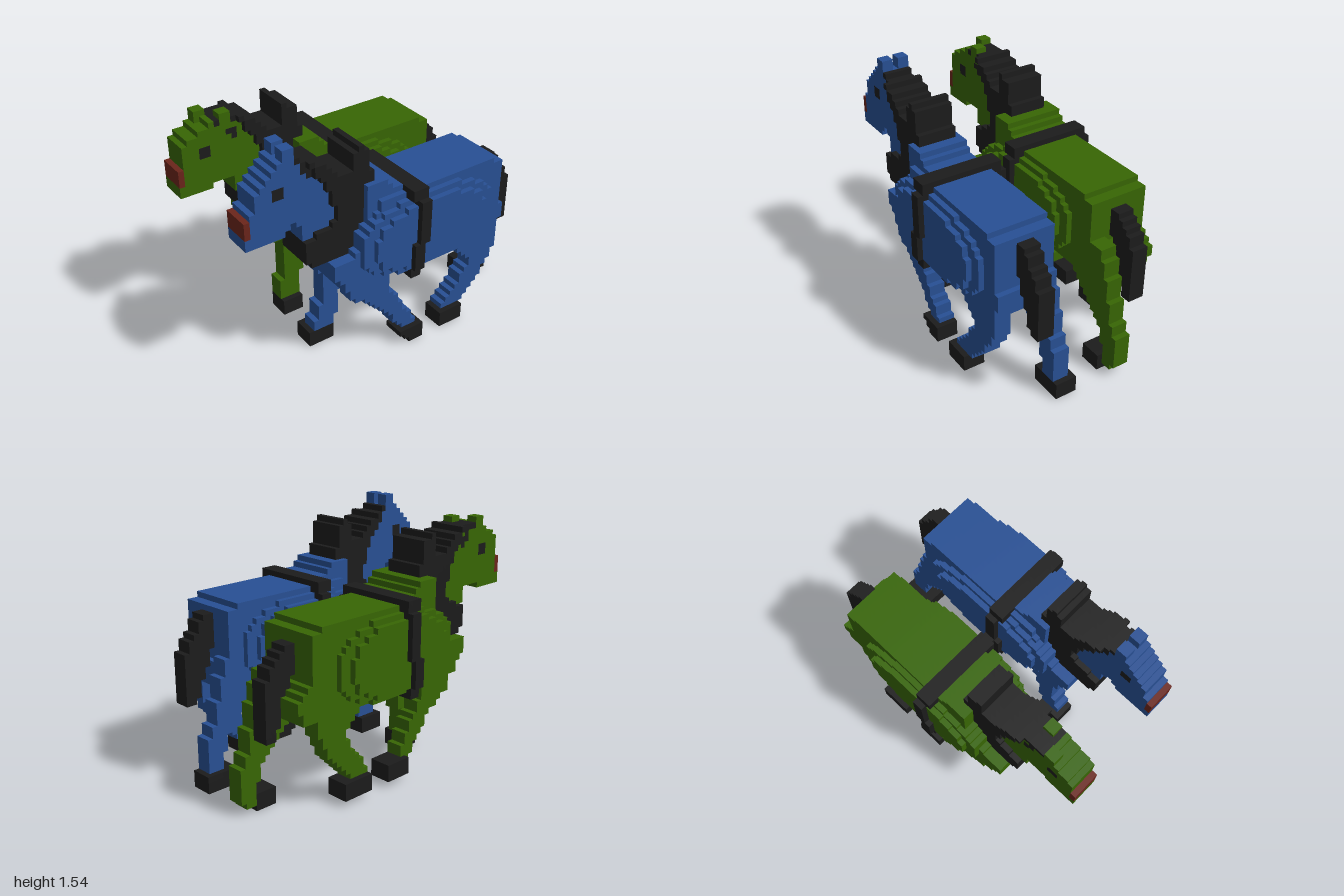
import * as THREE from 'three';

// A pair of stepped block horses in harness, built on a grid of 57 x 45 x 36 cells.
const V = 2 / 57, NX = 57, NY = 45, NZ = 36;

const mat = (name, color) => Object.assign(new THREE.MeshStandardMaterial({ color }), { name });

// Side outlines are rows [y, xStart, xEnd], interpolated between rows.
const rect = (x, y, w, h) => [[y, x, x + w], [y + h, x, x + w]];
const hoof = (x, y = 0, length = 5) => rect(x, y, length, 3);
const shift = (rows, dx, dy) => rows.map(([y, a, b]) => [y + dy, a + dx, b + dx]);

function oval(cx, cy, rx, ry) {
  const rows = [];
  for (let i = -ry; i <= ry; i += 0.5) {
    const half = rx * (1 - Math.abs(i / ry) ** 2.5) ** 0.4;
    rows.push([cy + i, cx - half, cx + half]);
  }
  return rows;
}

function spanAt(rows, y) {
  const i = rows.findIndex((r, k) => k > 0 && y >= rows[k - 1][0] && y < r[0]);
  if (i < 0) return [0, 0];
  const [y0, a0, b0] = rows[i - 1], [y1, a1, b1] = rows[i];
  const t = (y - y0) / (y1 - y0);
  return [a0 + (a1 - a0) * t, b0 + (b1 - b0) * t];
}

// Adds the parts of one horse; w runs from its outer side (0) to its inner side (17).
// Later parts replace earlier ones where they overlap.
function addHorse(add, far, coat, black, red) {
  const pose = (rows, dx, dy = 0) => (far ? shift(rows, dx, dy) : rows);
  const neckSide = far ? 3 : 4;

  // Body
  const [bellyX, bellyTrim] = far ? [31, 0.5] : [33.5, 0];
  add('bellyOuter', coat, oval(bellyX, 23, 11.5 - bellyTrim, 6), 1, 16);
  add('bellyMiddle', coat, oval(bellyX, 23, 13.5 - bellyTrim, 7), 2, 15);
  const torso = [[16, 17.5, 50], [20, 15, 51], [22, 15.5, 50], [22.1, 18, 50], [23, 19.5, 50], [26, 22, 50], [30, 24, 50], [31, 24, 46]];
  add('torso', coat, torso.map(([y, a, b]) => (far ? [y, a - 2, b + (y < 22 ? 1 : -1)] : [y, a, b])), 3, 14);
  add('withers', coat, pose([[28, 22, 29], [31, 22, 29.5], [33, 22, 26.5], [34, 22, 25.5]], -1), neckSide, 17 - neckSide);

  // Legs
  add('outerFrontLeg', coat, pose([[3, 29, 32], [10, 24, 28], [14, 18.5, 25.5], [19, 18, 26]], -1.7), 3, 6);
  add('innerFrontLeg', coat, pose([[3, 16, 20], [10, 18, 21.5], [19, 17, 25]], -0.6), 11, 14);
  add('outerRearLeg', coat, pose([[3, 38, 42.5], [8, 42, 47], [11, 44.2, 49], [14, 41.5, 50], [18, 38, 50]], -1.7, 1), 3, 6);
  add('innerRearLeg', coat, pose([[3, 52, 55], [8, 51, 55], [12, 47.5, 53], [17, 43, 52], [24, 43, 50]], 2, -1), 11, 14);
  if (far) add('innerRearHeel', coat, rect(54, 1, 2, 1), 11, 14);

  // Hooves
  add('outerFrontHoof', black, far ? hoof(28, 1) : [[0, 30, 33], [2, 28.4, 33], [3, 28, 33]], 2, 6);
  add('innerFrontHoof', black, far ? hoof(16, 0, 4) : hoof(15), 11, 15);
  add('outerRearHoof', black, far ? hoof(37, 1, 6) : hoof(37), 2, 6);
  add('innerRearHoof', black, far ? hoof(50, 0, 4) : hoof(50, 0, 6), 11, 15);
  add('tail', black, pose([[14, 54, 56], [20, 51.7, 56], [24, 50, 55.3], [29, 50, 51.5]], -0.6, -1), 7, 10);

  // Head
  const head = [[29, 1, 7], [32, 1, 10], [33.9, 1, 13], [34.1, 2.3, 13], [36, 2.8, 13], [38, 3, 13], [far ? 41 : 42, 8, 10]];
  add('head', coat, pose(head, -1.6), 6, 11);
  add('neck', coat, pose([[27, 11, 17], [33, 10, 19], [38, 6, 15], [40, 9, 13]], -1), 6, 11);
  if (far) add('cheek', coat, rect(7, 30, 4, 3), 6, 11);
  add('muzzle', red, pose(rect(1, 31, 1, 3), -1), 6, 11);
  const eye = pose(rect(6, 36, 2, 2), -2, -1);
  add('outerEye', black, eye, 6, 7);
  add('innerEye', black, eye, 10, 11);
  add('mane', black, pose([[38, 12, 13.5], [42, 10, 11]], -2, -1), 6, 11);
  if (far) add('forelock', black, rect(7, 40, 5, 1), 6, 11);
  const ear = rect(8, 41, 2, 3);
  add('outerEar', coat, pose(ear, -3, -2), 6, 8);
  add('innerEar', coat, pose(ear, 0, -2), 9, 11);

  // Harness
  add('collarBase', black, [[22, 12, 18.5], [23, 11.5, 20.3], [25, 11, 22], [27, 11, 23], [28, 14, 23.3]], 5, 12);
  add('collar', black, pose([[28, 15, 23.5], [30, 17, 24], [36, 15, 24], [37, 14.3, 18], [41, 11.5, 12.5]], -1), 5, 12);
  add('collarTop', black, pose(rect(20, 36, 3, 4), -1), 5, 12);
  add('collarPeak', black, pose(rect(21, 40, 1, 1), -2), 5, 12);
  add('girthTop', black, pose(rect(29, 30, 3, 2), -2), 1, 16);
  add('girthSides', black, pose([[17, 29, 31], [30, 30.2, 32.2]], -2), 0, 17);
  add('girthBottom', black, pose(rect(29, 15, 2, 2), -2), 1, 16);
}

export function createModel() {
  const blue = mat('blue coat', 0x285094), green = mat('green coat', 0x386604);
  const black = mat('black harness', 0x1c1c1c), red = mat('red muzzle', 0x6b251b);
  const model = new THREE.Group();
  model.name = 'horsePair';
  const grid = new Int16Array(NX * NY * NZ);
  const at = (p) => (p.some((c, i) => c < 0 || c >= [NX, NY, NZ][i]) ? -1 : p[0] + NX * (p[1] + NY * p[2]));
  const parts = [];

  // Fill the grid, mirroring the far horse.
  for (const far of [false, true]) {
    const group = new THREE.Group();
    group.name = far ? 'greenHorse' : 'blueHorse';
    model.add(group);
    const add = (name, material, rows, w0, w1) => {
      parts.push({ name, material, group, positions: [], normals: [] });
      for (let y = 0; y < NY; y++) {
        const [a, b] = spanAt(rows, y + 0.5);
        for (let x = Math.max(0, Math.round(a)); x < Math.min(NX, Math.round(b)); x++) {
          for (let w = w0; w < w1; w++) grid[at([x, y, far ? w : NZ - 1 - w])] = parts.length;
        }
      }
    };
    addHorse(add, far, far ? green : blue, black, red);
  }

  // Give each part only its exposed cell faces.
  const addFace = ({ positions, normals }, cell, axis, side) => {
    const u = (axis + (side > 0 ? 1 : 2)) % 3, v = (axis + (side > 0 ? 2 : 1)) % 3;
    for (const [a, b] of [[0, 0], [1, 0], [1, 1], [0, 0], [1, 1], [0, 1]]) {
      const p = [...cell], n = [0, 0, 0];
      p[axis] += side > 0 ? 1 : 0;
      p[u] += a;
      p[v] += b;
      n[axis] = side;
      positions.push((p[0] - NX / 2) * V, p[1] * V, (p[2] - NZ / 2) * V);
      normals.push(...n);
    }
  };
  for (let z = 0; z < NZ; z++) for (let y = 0; y < NY; y++) for (let x = 0; x < NX; x++) {
    const cell = [x, y, z], id = grid[at(cell)];
    if (!id) continue;
    for (let axis = 0; axis < 3; axis++) for (const side of [1, -1]) {
      const next = [...cell];
      next[axis] += side;
      if (at(next) < 0 || !grid[at(next)]) addFace(parts[id - 1], cell, axis, side);
    }
  }

  for (const { name, material, group, positions, normals } of parts) {
    if (!positions.length) continue;
    const geometry = new THREE.BufferGeometry();
    geometry.setAttribute('position', new THREE.Float32BufferAttribute(positions, 3));
    geometry.setAttribute('normal', new THREE.Float32BufferAttribute(normals, 3));
    const mesh = new THREE.Mesh(geometry, material);
    mesh.name = name;
    group.add(mesh);
  }
  return model;
}
